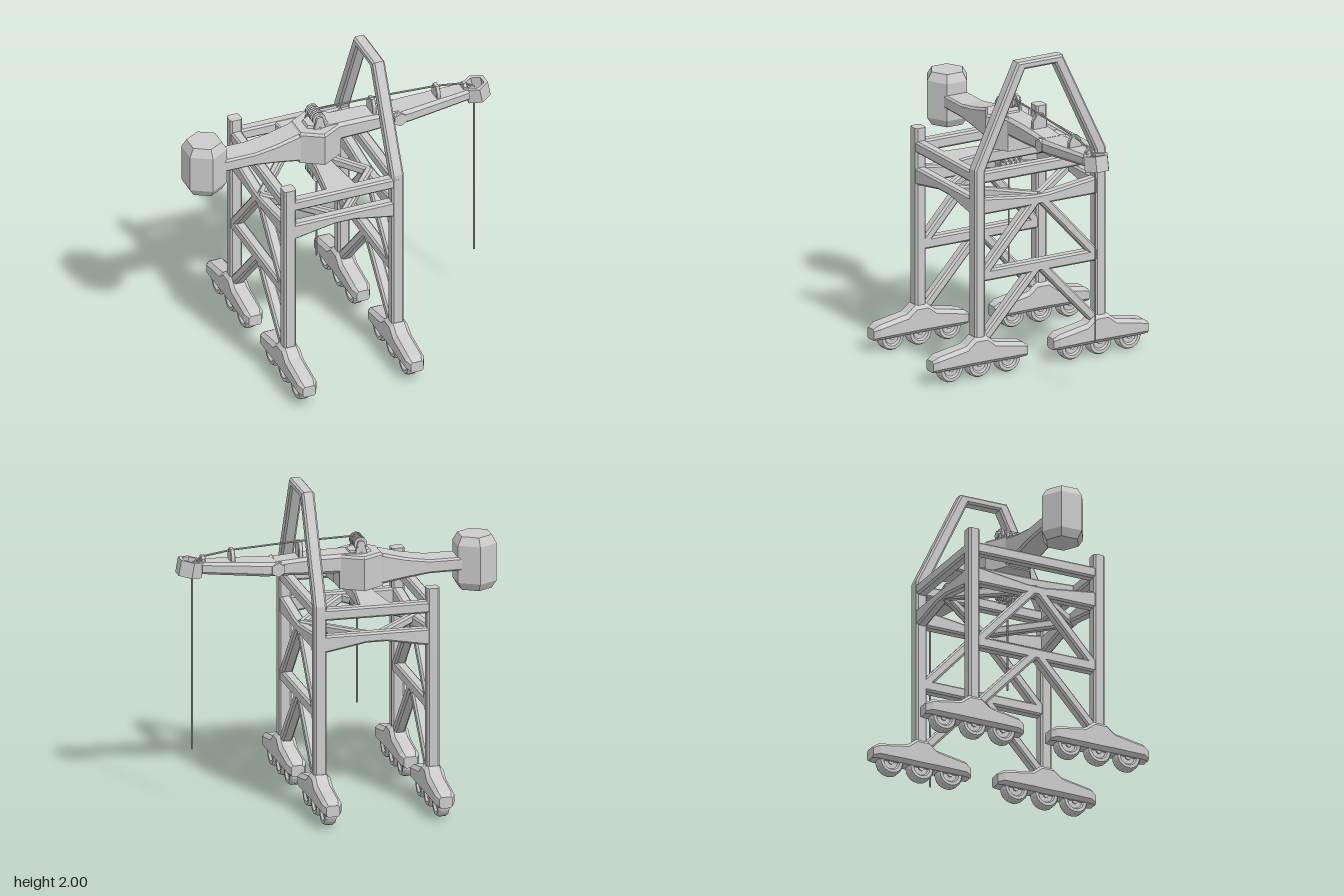
import * as THREE from 'three';

const mat = new THREE.MeshStandardMaterial({ color: 0xcccccc, flatShading: true });
const V = (x, y, z) => new THREE.Vector3(x, y, z);
const BACK = -0.495, FRONT = 0.223, MID = -0.136, SIDE = 0.431;

function add(parent, name, geo, pos = [0, 0, 0], rot = [0, 0, 0]) {
  const m = new THREE.Mesh(geo, mat);
  m.name = name;
  m.position.set(...pos);
  m.rotation.set(...rot);
  parent.add(m);
  return m;
}

// Straight beam with chamfered edges between two points
function beam(parent, name, a, b, w = 0.08, h = 0.075, c = 0.012) {
  const x = w / 2, y = h / 2;
  const s = new THREE.Shape([[x - c, -y], [x, c - y], [x, y - c], [x - c, y], [c - x, y], [-x, y - c], [-x, c - y], [c - x, -y]]
    .map(p => new THREE.Vector2(...p)));
  const geo = new THREE.ExtrudeGeometry(s, { depth: a.distanceTo(b), bevelEnabled: false });
  const m = add(parent, name, geo, a.toArray());
  m.lookAt(b);
  return m;
}

// Bevelled plate, centred on its own thickness
function plateGeo(pts, depth, bevel = 0.012) {
  const s = new THREE.Shape(pts.map(p => new THREE.Vector2(...p)));
  const g = new THREE.ExtrudeGeometry(s, {
    depth: depth - 2 * bevel, bevelThickness: bevel, bevelSize: bevel, bevelOffset: -bevel, bevelSegments: 1
  });
  return g.translate(0, 0, bevel - depth / 2);
}

// Chamfered box loft along x; each section is [x, bottom, top, halfWidth, chamfer]
function loftGeo(sections) {
  const pos = [], idx = [], n = 8;
  for (const [x, b, t, h, c] of sections)
    for (const [y, z] of [[t, -h + c], [t, h - c], [t - c, h], [b + c, h], [b, h - c], [b, c - h], [b + c, -h], [t - c, -h]])
      pos.push(x, y, z);
  for (let k = 0; k < sections.length - 1; k++)
    for (let i = 0; i < n; i++) {
      const a = k * n + i, b = k * n + (i + 1) % n;
      idx.push(a, b, b + n, a, b + n, a + n);
    }
  const e = (sections.length - 1) * n;
  for (let i = 1; i < n - 1; i++) idx.push(0, i + 1, i, e, e + i, e + i + 1);
  const g = new THREE.BufferGeometry();
  g.setAttribute('position', new THREE.Float32BufferAttribute(pos, 3));
  g.setIndex(idx);
  g.computeVertexNormals();
  return g;
}

const latheGeo = (pts, n) => new THREE.LatheGeometry(pts.map(p => new THREE.Vector2(...p)), n);

function cable(parent, name, pts) {
  const path = new THREE.CurvePath();
  for (let i = 0; i < pts.length - 1; i++) path.add(new THREE.LineCurve3(pts[i], pts[i + 1]));
  for (const c of path.curves) {
    const r = add(parent, name, new THREE.CylinderGeometry(0.006, 0.006, c.getLength(), 6));
    r.position.copy(c.getPoint(0.5));
    r.quaternion.setFromUnitVectors(V(0, 1, 0), c.v2.clone().sub(c.v1).normalize());
  }
}

// Wheel truck: tapered housing with three wheels
function bogie(x, z) {
  const g = new THREE.Group();
  g.name = 'bogie';
  g.position.set(x, 0, z);
  const half = [[0.338, 0.088, 0.16, 0.042, 0.012], [0.3, 0.088, 0.185, 0.062, 0.022], [0.1, 0.088, 0.222, 0.062, 0.024], [0.04, 0.088, 0.27, 0.06, 0.024]];
  const secs = [...half.map(([s, ...r]) => [-s, ...r]), ...half.slice().reverse()];
  add(g, 'bogieHousing', loftGeo(secs), [0, 0, 0], [0, Math.PI / 2, 0]);
  const wheel = [[0, -0.022], [0.045, -0.022], [0.055, -0.036], [0.075, -0.036], [0.085, -0.02],
    [0.085, 0.02], [0.075, 0.036], [0.055, 0.036], [0.045, 0.022], [0, 0.022]];
  for (const s of [-0.208, 0, 0.2]) {
    add(g, 'wheel', latheGeo(wheel, 20), [0, 0.087, s], [0, 0, Math.PI / 2]);
    add(g, 'wheelHub', new THREE.CylinderGeometry(0.018, 0.018, 0.06, 8), [0, 0.087, s], [0, 0, Math.PI / 2]);
  }
  return g;
}

// Cable sheaves on a tapered bracket; dir is +1 above or -1 below
function sheaves(parent, y, dir) {
  const g = new THREE.Group();
  g.name = 'sheaveBlock';
  g.position.set(MID, y, 0);
  for (const z of [-0.054, -0.018, 0.018, 0.054])
    add(g, 'sheave', new THREE.CylinderGeometry(0.043, 0.043, 0.018, 10), [0, 0, z], [Math.PI / 2, 0, 0]);
  add(g, 'sheaveAxle', new THREE.CylinderGeometry(0.026, 0.026, 0.16, 8), [0, 0, 0], [Math.PI / 2, 0, 0]);
  for (const z of [-0.068, 0.068])
    add(g, 'sheaveBracket', plateGeo([[-0.042, -0.065 * dir], [0.042, -0.065 * dir], [0.02, 0.015 * dir], [-0.02, 0.015 * dir]], 0.016, 0.003), [0, 0, z]);
  parent.add(g);
}

export function createModel() {
  const model = new THREE.Group();
  const frame = new THREE.Group(), crane = new THREE.Group();
  frame.name = 'portalFrame';
  crane.name = 'slewingCrane';
  model.add(frame, crane);

  // Legs, bogies and long side rails
  for (const s of [-1, 1]) {
    const z = s * SIDE;
    frame.add(bogie(BACK, z), bogie(FRONT, z));
    beam(frame, 'backLeg', V(BACK, 0.2, z), V(BACK, 1.415, z));
    beam(frame, 'frontLeg', V(FRONT, 0.2, z), V(FRONT, 1.32, z));
    beam(frame, 'upperSideRail', V(BACK, 1.293, z), V(FRONT, 1.293, z), 0.07, 0.075);
    add(frame, 'archedSideRail', plateGeo([[BACK, 1.045], [-0.45, 1.05], [-0.2, 1.095], [-0.07, 1.095],
      [0.18, 1.05], [FRONT, 1.045], [FRONT, 1.16], [BACK, 1.16]], 0.07), [0, 0, z]);
  }

  // End frames: cross rails and K bracing
  for (const x of [BACK, FRONT]) {
    beam(frame, 'upperCrossRail', V(x, 1.293, -SIDE), V(x, 1.293, SIDE), 0.07, 0.075);
    beam(frame, 'middleCrossRail', V(x, 0.655, -SIDE), V(x, 0.655, SIDE), 0.07, 0.075);
    add(frame, 'dippedCrossRail', plateGeo([[-SIDE, 1.052], [SIDE, 1.052], [SIDE, 1.165], [0.38, 1.16],
      [0.06, 1.118], [-0.06, 1.118], [-0.38, 1.16], [-SIDE, 1.165]], 0.07), [x, 0, 0], [0, -Math.PI / 2, 0]);
    for (const s of [-1, 1]) {
      beam(frame, 'lowerBrace', V(x, 0.2, s * SIDE), V(x, 0.64, s * 0.025), 0.07, 0.06);
      beam(frame, 'upperBrace', V(x, 0.63, s * SIDE), V(x, 1.08, s * 0.025), 0.07, 0.06);
      // Horizontal diamond bracing
      beam(frame, 'horizontalBrace', V(x, 1.1, 0), V(MID, 1.12, s * SIDE), 0.05, 0.06);
    }
  }

  // Tapered girder carrying the crane
  add(frame, 'crossGirder', loftGeo([[-0.43, 1.26, 1.328, 0.106, 0.01], [-0.15, 1.255, 1.333, 0.066, 0.01],
    [0.15, 1.255, 1.333, 0.066, 0.01], [0.43, 1.26, 1.328, 0.106, 0.01]]), [MID, 0, 0], [0, Math.PI / 2, 0]);

  // Tall A-frame over the front legs
  add(frame, 'aFrame', plateGeo([[-0.468, 1.3], [-0.394, 1.3], [-0.394, 1.335], [-0.108, 1.95], [0.108, 1.95], [0.394, 1.335],
    [0.394, 1.3], [0.468, 1.3], [0.468, 1.35], [0.16, 2], [-0.16, 2], [-0.468, 1.35]], 0.08), [FRONT, 0, 0], [0, -Math.PI / 2, 0]);

  // Turret, rear arm and counterweight
  add(crane, 'turret', latheGeo([[0, 1.325], [0.16, 1.335], [0.16, 1.535], [0.145, 1.55], [0.085, 1.55], [0.075, 1.565], [0, 1.565]], 6), [MID, 0, 0]);
  add(crane, 'rearArm', loftGeo([[-0.8, 1.39, 1.475, 0.083, 0.012], [-0.57, 1.388, 1.475, 0.083, 0.012],
    [-0.42, 1.368, 1.5, 0.084, 0.014], [-0.27, 1.342, 1.54, 0.085, 0.016], [-0.13, 1.335, 1.552, 0.085, 0.016]]));
  add(crane, 'counterweight', latheGeo([[0, 1.26], [0.11, 1.26], [0.142, 1.31], [0.142, 1.55], [0.11, 1.602], [0, 1.602]], 6), [-0.876, 0, 0]);

  // Boom in two sections joined by a hinge
  add(crane, 'innerBoom', loftGeo([[-0.1, 1.43, 1.555, 0.085, 0.02], [0.18, 1.435, 1.552, 0.083, 0.02], [0.4, 1.445, 1.535, 0.076, 0.018]]));
  add(crane, 'outerBoom', loftGeo([[0.36, 1.45, 1.53, 0.088, 0.016], [0.46, 1.447, 1.538, 0.09, 0.02], [0.87, 1.487, 1.562, 0.058, 0.016]]));
  const pin = new THREE.CylinderGeometry(0.046, 0.046, 0.19, 6);
  add(crane, 'boomHinge', pin, [0.395, 1.49, 0], [Math.PI / 2, 0, 0]);

  // Open hexagonal boom head with a sheave across it
  const head = new THREE.Group();
  head.name = 'boomHead';
  head.position.set(0.935, 1.523, 0);
  head.rotation.z = 0.18;
  add(head, 'headRing', latheGeo([[0.085, -0.05], [0.085, 0.05], [0.06, 0.05], [0.06, -0.05], [0.085, -0.05]], 6));
  add(head, 'headSheave', new THREE.CylinderGeometry(0.028, 0.028, 0.016, 12), [-0.032, 0.015, 0], [Math.PI / 2, 0, 0]);
  add(head, 'headAxle', new THREE.CylinderGeometry(0.01, 0.01, 0.08, 6), [-0.032, 0.015, 0], [Math.PI / 2, 0, 0]);
  crane.add(head);

  // Cable guides along the boom
  for (const [x, y, h, w] of [[0.24, 1.54, 0.1, 0.05], [0.67, 1.535, 0.09, 0.045], [0.855, 1.55, 0.045, 0.03]])
    add(crane, 'cableGuide', plateGeo([[-w, 0], [w, 0], [w, h * 0.55], [w * 0.5, h], [-w * 0.5, h], [-w, h * 0.55]], 0.028, 0.004),
      [x, y, 0], [0, Math.PI / 2, 0]);

  // Sheave blocks and cables
  sheaves(crane, 1.608, 1);
  sheaves(crane, 1.192, -1);
  cable(crane, 'hoistCable', [V(MID, 1.645, 0), V(0.24, 1.638, 0), V(0.67, 1.615, 0), V(0.86, 1.587, 0), V(0.922, 1.55, 0), V(0.922, 0.35, 0)]);
  cable(crane, 'centreCable', [V(MID + 0.008, 1.2, 0), V(MID + 0.008, 0.57, 0)]);
  return model;
}
